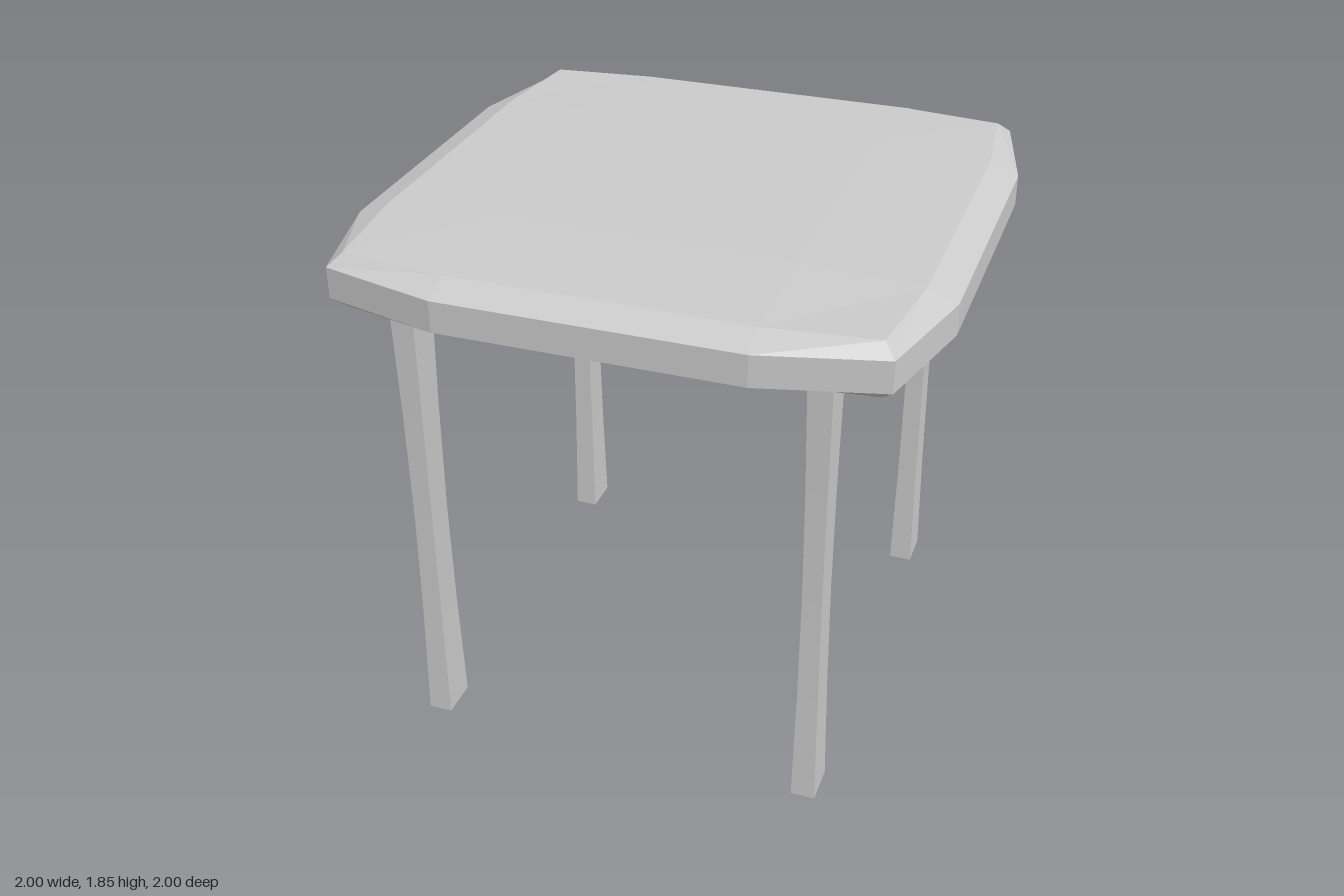
import * as THREE from 'three';

const material = new THREE.MeshStandardMaterial({ color: 0xcccccc, flatShading: true });

// Apply a rule to every vertex of a geometry
function reshape(geometry, rule) {
  const pos = geometry.attributes.position;
  const v = new THREE.Vector3();
  for (let i = 0; i < pos.count; i++) {
    rule(v.fromBufferAttribute(pos, i));
    pos.setXYZ(i, v.x, v.y, v.z);
  }
  geometry.computeVertexNormals();
  return geometry;
}

// Slab with bowed sides, chamfered rims and slightly crowned faces
function createTabletop() {
  const levels = [1.65, 1.69, 1.797, 1.836];
  const geometry = reshape(new THREE.BoxGeometry(3, 3, 3, 3, 3, 3), (v) => {
    const level = Math.round(v.y + 1.5);
    const rim = level === 0 || level === 3;
    const edgeX = Math.abs(v.x) > 1, edgeZ = Math.abs(v.z) > 1;
    const reach = edgeX && edgeZ ? (rim ? 0.86 : 0.9) : (rim ? 0.9 : 1);
    v.x = Math.sign(v.x) * (edgeX ? reach : 0.5);
    v.z = Math.sign(v.z) * (edgeZ ? reach : 0.5);
    v.y = levels[level];
    if (!edgeX && !edgeZ) v.y += level === 3 ? 0.011 : -0.007;
  });
  const mesh = new THREE.Mesh(geometry, material);
  mesh.name = 'tabletop';
  return mesh;
}

// Rectangular leg, pinched around the middle
function createLeg(name, x, z) {
  const height = 1.65;
  const geometry = reshape(new THREE.BoxGeometry(0.083, height, 0.138, 1, 4, 1), (v) => {
    v.y += height / 2;
    const t = v.y / height;
    const pinch = 1 - 0.19 * Math.sin(Math.PI * t) - 0.02 * t;
    v.x *= pinch;
    v.z *= pinch;
  });
  const mesh = new THREE.Mesh(geometry, material);
  mesh.name = name;
  mesh.position.set(x, 0, z);
  return mesh;
}

export function createModel() {
  const table = new THREE.Group();
  table.name = 'table';
  table.add(createTabletop());

  // The legs stand slightly unevenly
  const legs = [
    ['frontLeftLeg', 0.667, 0.749],
    ['frontRightLeg', -0.703, 0.749],
    ['backLeftLeg', 0.667, -0.704],
    ['backRightLeg', -0.703, -0.654],
  ];
  for (const [name, x, z] of legs) table.add(createLeg(name, x, z));
  return table;
}
